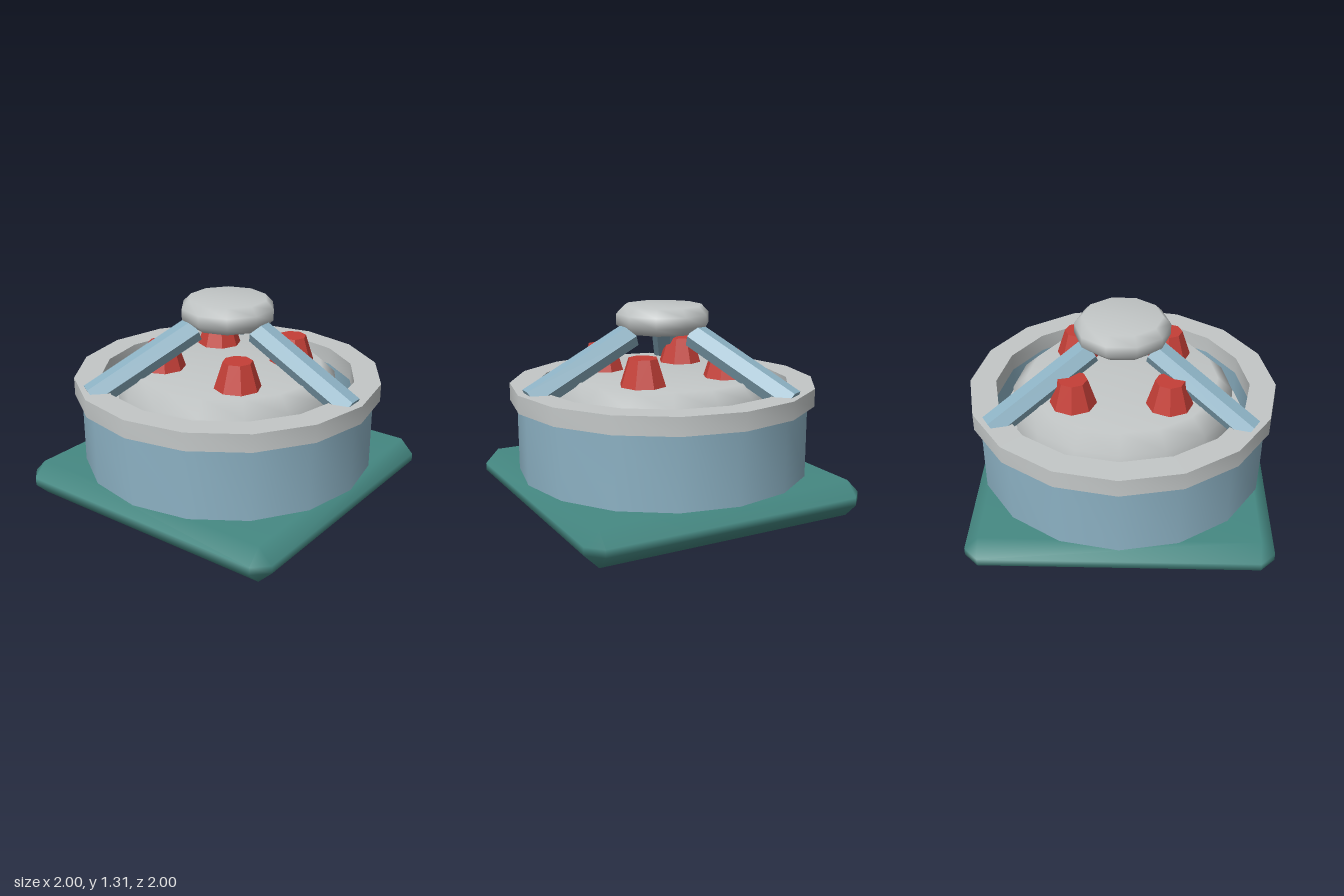
import * as THREE from 'three';
import { mergeVertices, toCreasedNormals } from 'three/addons/utils/BufferGeometryUtils.js';
import { ConvexGeometry } from 'three/addons/geometries/ConvexGeometry.js';

const mat = (name, color) => {
  const m = new THREE.MeshStandardMaterial({ color });
  m.name = name;
  return m;
};

export function createModel() {
  const group = new THREE.Group();
  const grey = mat('pale grey', 0xc3c7c7);
  const blue = mat('steel blue', 0x8cb1c3);
  const red = mat('red', 0xc43f37);
  const teal = mat('teal', 0x458882);

  const add = (name, geometry, material) => {
    const mesh = new THREE.Mesh(geometry, material);
    mesh.name = name;
    group.add(mesh);
    return mesh;
  };
  const lathe = (profile, sides, start = 0) =>
    new THREE.LatheGeometry(profile.map(([r, y]) => new THREE.Vector2(r, y)), sides, start);

  // Square base with chamfered edges and smooth shading
  const corners = [];
  for (const sx of [-1, 1]) for (const sz of [-1, 1]) for (const sy of [-1, 1]) {
    const y = (dy) => 0.1175 + sy * dy;
    corners.push(
      new THREE.Vector3(sx * 0.96, y(0.025), sz * 0.868),
      new THREE.Vector3(sx * 0.868, y(0.025), sz * 0.96),
      new THREE.Vector3(sx * 0.868, y(0.1175), sz * 0.868));
  }
  let baseGeo = new ConvexGeometry(corners);
  baseGeo.deleteAttribute('normal');
  baseGeo = mergeVertices(baseGeo, 1e-4);
  baseGeo.computeVertexNormals();
  add('base', baseGeo, teal);

  // Hollow tubes: drum wall and the wider rim on top
  const tube = (inner, outer, y0, y1) => toCreasedNormals(
    lathe([[inner, y0], [outer, y0], [outer, y1], [inner, y1], [inner, y0]], 16), 0.6);
  add('drum', tube(0.83, 0.955, 0.235, 0.7), blue);
  add('rim', tube(0.83, 1, 0.7, 0.815), grey);

  // Recessed floor and the bevelled lid rising from it
  add('floor', new THREE.CylinderGeometry(0.83, 0.83, 0.3, 16).translate(0, 0.4, 0), grey);
  add('lid', lathe([[0.72, 0.55], [0.72, 0.77], [0.62, 0.865], [0, 0.865]], 16), grey);

  // Four tapered studs
  for (const x of [-0.3, 0.3]) for (const z of [-0.3, 0.3]) {
    const geo = new THREE.CylinderGeometry(0.093, 0.153, 0.185, 8).toNonIndexed();
    geo.computeVertexNormals();
    add('stud', geo, red).position.set(x, 0.9425, z);
  }

  // Three hexagonal struts from the rim up to the hub
  const inner = new THREE.Vector2(0.233, 1.134), outer = new THREE.Vector2(0.923, 0.774);
  const along = outer.clone().sub(inner);
  for (let i = 0; i < 3; i++) {
    const geo = new THREE.CylinderGeometry(0.085, 0.085, along.length(), 6).toNonIndexed();
    geo.computeVertexNormals();
    geo.rotateY(Math.PI / 2);
    geo.rotateX(Math.atan2(along.x, along.y));
    geo.translate(0, (inner.y + outer.y) / 2, (inner.x + outer.x) / 2);
    geo.rotateY(i * Math.PI * 2 / 3);
    add('strut', geo, blue);
  }

  // Rounded ten-sided hub
  add('hub', lathe([[0, 1.14], [0.25, 1.14], [0.305, 1.19], [0.305, 1.26], [0.255, 1.312], [0, 1.312]],
    10, Math.PI / 2), grey);

  return group;
}
